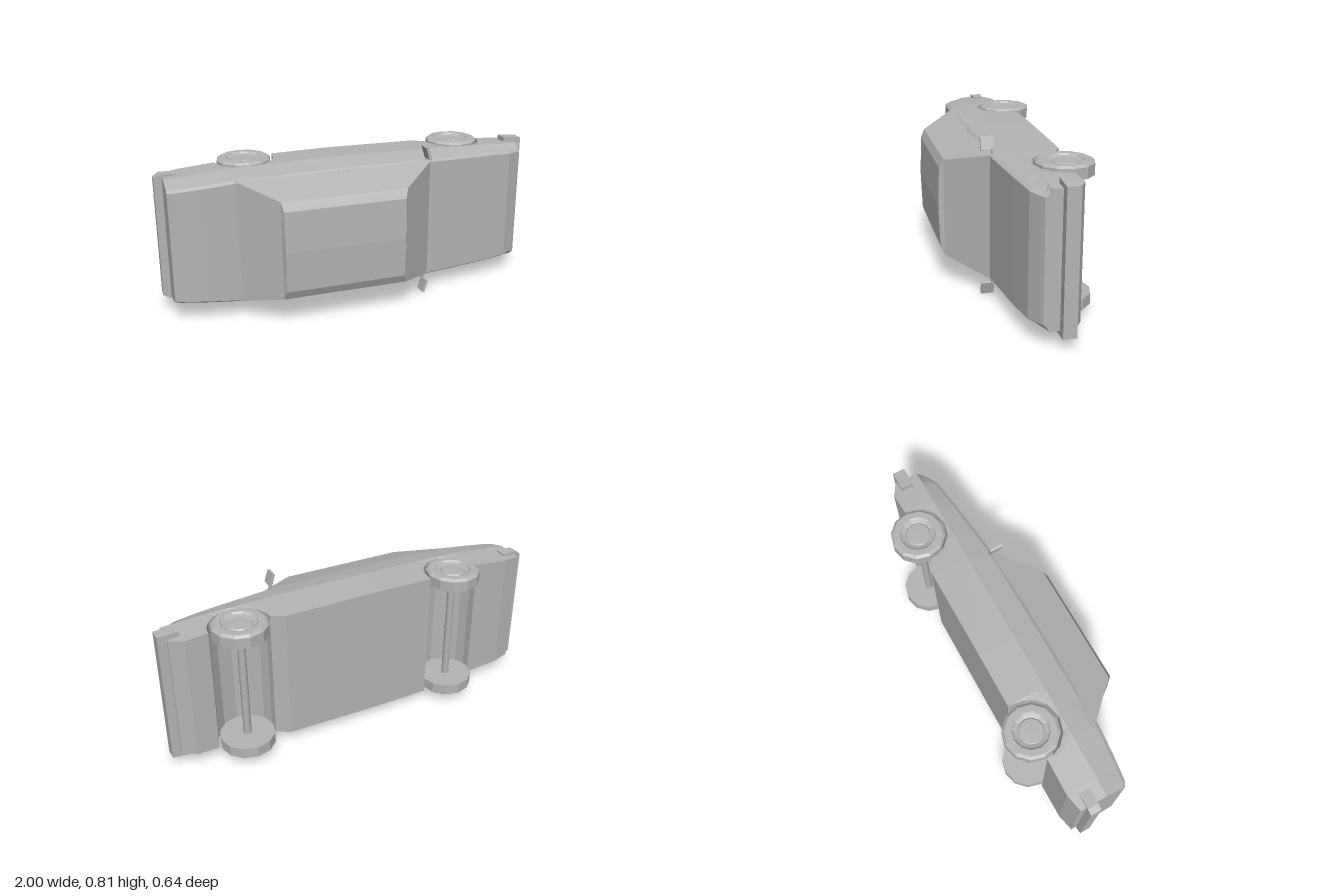
import * as THREE from 'three';

const paint = new THREE.MeshStandardMaterial({ color: 0xb4b4b4 });
paint.name = 'grey';

// The car lies on its side: length along x, width along y, roof toward +z
const MID_Y = 0.405;

// Piecewise linear lookup in a list of [x, value]
function lerpTable(table, x) {
  for (let i = 1; i < table.length; i++) {
    const [x0, v0] = table[i - 1], [x1, v1] = table[i];
    if (x <= x1) return v0 + (v1 - v0) * Math.max(0, (x - x0) / (x1 - x0));
  }
  return table[table.length - 1][1];
}

function flat(geometry) {
  const g = geometry.index ? geometry.toNonIndexed() : geometry;
  g.computeVertexNormals();
  return g;
}

function fromTriangles(tris) {
  const g = new THREE.BufferGeometry();
  g.setAttribute('position', new THREE.Float32BufferAttribute(tris.flat(2), 3));
  return flat(g);
}

// Skin a list of equal rings and close both ends
function loft(rings) {
  const tris = [], n = rings[0].length;
  for (let i = 0; i < rings.length - 1; i++) {
    for (let j = 0; j < n; j++) {
      const k = (j + 1) % n;
      const a = rings[i][j], b = rings[i][k], c = rings[i + 1][k], d = rings[i + 1][j];
      tris.push([a, b, c], [a, c, d]);
    }
  }
  const first = rings[0], last = rings[rings.length - 1];
  for (let j = 1; j < n - 1; j++) {
    tris.push([first[0], first[j + 1], first[j]], [last[0], last[j], last[j + 1]]);
  }
  return fromTriangles(tris);
}

function quad(a, b, c, d, flip) {
  return fromTriangles(flip ? [[a, c, b], [a, d, c]] : [[a, b, c], [a, c, d]]);
}

export function createModel() {
  const group = new THREE.Group();
  group.name = 'car';
  const car = new THREE.Group();
  car.name = 'sedan';
  car.position.y = MID_Y;
  group.add(car);
  const add = (name, geometry) => {
    const mesh = new THREE.Mesh(geometry, paint);
    mesh.name = name;
    car.add(mesh);
    return mesh;
  };

  // Lower body with wheel channels running across the underside
  const axles = [-0.535, 0.625], axleZ = -0.183;
  const arch = (cx) => [180, 165, 145, 120, 90, 60, 35, 15, 0].map((deg) => {
    const a = THREE.MathUtils.degToRad(deg);
    return [cx + 0.15 * Math.cos(a), axleZ + 0.148 * Math.sin(a)];
  });
  const bottom = [[-0.96, -0.165], [-0.87, -0.185], ...arch(axles[0]), [-0.38, -0.22],
    [0.41, -0.22], ...arch(axles[1]), [0.89, -0.19], [0.955, -0.15]];
  const top = [[-0.96, 0.075], [-0.935, 0.088], [-0.8, 0.103], [-0.65, 0.113],
    [0.38, 0.102], [0.7, 0.07], [0.87, 0.046], [0.935, 0.012], [0.955, 0]];
  const width = [[-0.96, 0.315], [-0.65, 0.342], [-0.1, 0.352], [0.38, 0.347],
    [0.75, 0.337], [0.955, 0.325]];
  const stations = [...new Set([...bottom, ...top, ...width].map((p) => p[0]))]
    .sort((a, b) => a - b);
  add('body', loft(stations.map((x) => {
    const w = lerpTable(width, x), t = lerpTable(top, x);
    const half = [[w * 0.985, lerpTable(bottom, x)], [w, -0.027],
      [w - 0.026, t - 0.016], [w - 0.037, t]];
    const other = half.map(([y, z]) => [-y, z]).reverse();
    return [...half, ...other].map(([y, z]) => [x, y, z]);
  })));

  // Cabin tapering to a softly crowned roof
  const cabinRing = (back, front, h, z, midZ) => [[back, 0, midZ], [back, -h, z],
    [front, -h, z], [front, 0, midZ], [front, h, z], [back, h, z]];
  add('cabin', loft([
    cabinRing(-0.665, 0.4, 0.322, 0.08, 0.08),
    cabinRing(-0.465, 0.175, 0.25, 0.29, 0.29),
    cabinRing(-0.455, 0.162, 0.205, 0.311, 0.318),
  ]));

  // Window panes laid just over the cabin faces
  const lift = 0.003;
  const frontPt = (y, z) => [0.4 - (z - 0.08) * 1.071 + lift, y, z + lift];
  const backPt = (y, z) => [-0.665 + (z - 0.08) * 0.952 - lift, y, z + lift];
  add('windshield', quad(frontPt(-0.26, 0.125), frontPt(0.26, 0.125),
    frontPt(0.215, 0.282), frontPt(-0.215, 0.282)));
  add('rearWindow', quad(backPt(-0.26, 0.125), backPt(0.26, 0.125),
    backPt(0.215, 0.282), backPt(-0.215, 0.282), true));
  for (const s of [-1, 1]) {
    const sidePt = (x, z) => [x, s * (0.322 - (z - 0.08) * 0.343 + lift), z];
    add('rearSideWindow', quad(sidePt(-0.52, 0.115), sidePt(-0.41, 0.26),
      sidePt(-0.09, 0.26), sidePt(-0.075, 0.115), s < 0));
    add('frontSideWindow', quad(sidePt(-0.055, 0.115), sidePt(-0.07, 0.26),
      sidePt(0.16, 0.26), sidePt(0.32, 0.115), s < 0));

    // Door mirror on a short arm
    const mirror = add('doorMirror', new THREE.BoxGeometry(0.014, 0.066, 0.064));
    mirror.position.set(0.35, s * 0.369, 0.111);
    mirror.rotation.z = s * 0.3;
    const arm = add('mirrorArm', new THREE.BoxGeometry(0.012, 0.04, 0.01));
    arm.position.set(0.36, s * 0.328, 0.087);
  }

  // Bumpers with ends wrapping round the corners
  const bumper = (name, outline, z0, z1) => {
    const pts = [...outline, ...outline.map(([x, y]) => [x, -y]).reverse()];
    const shape = new THREE.Shape(pts.map(([x, y]) => new THREE.Vector2(x, y)));
    const g = new THREE.ExtrudeGeometry(shape, { depth: z1 - z0, bevelEnabled: false });
    add(name, g).position.z = z0;
  };
  bumper('frontBumper', [[0.895, 0.352], [1, 0.343]], -0.14, -0.076);
  bumper('rearBumper', [[-0.89, 0.326], [-0.97, 0.328], [-1, 0.308]], -0.135, -0.08);

  // Wheels with recessed hubs, joined by plain axles
  const tyre = [[0, -0.033], [0.138, -0.033], [0.138, 0.022], [0.124, 0.033], [0.092, 0.033],
    [0.084, 0.025], [0.064, 0.019], [0.058, 0.025], [0, 0.026]];
  const wheelGeo = flat(new THREE.LatheGeometry(
    tyre.map(([r, y]) => new THREE.Vector2(r, y)), 12));
  for (const x of axles) {
    for (const s of [-1, 1]) {
      const wheel = add('wheel', wheelGeo);
      wheel.position.set(x, s * 0.319, axleZ);
      if (s < 0) wheel.rotation.x = Math.PI;
    }
    add('axle', new THREE.CylinderGeometry(0.02, 0.02, 0.6, 10)).position.set(x, 0, axleZ);
  }
  return group;
}
